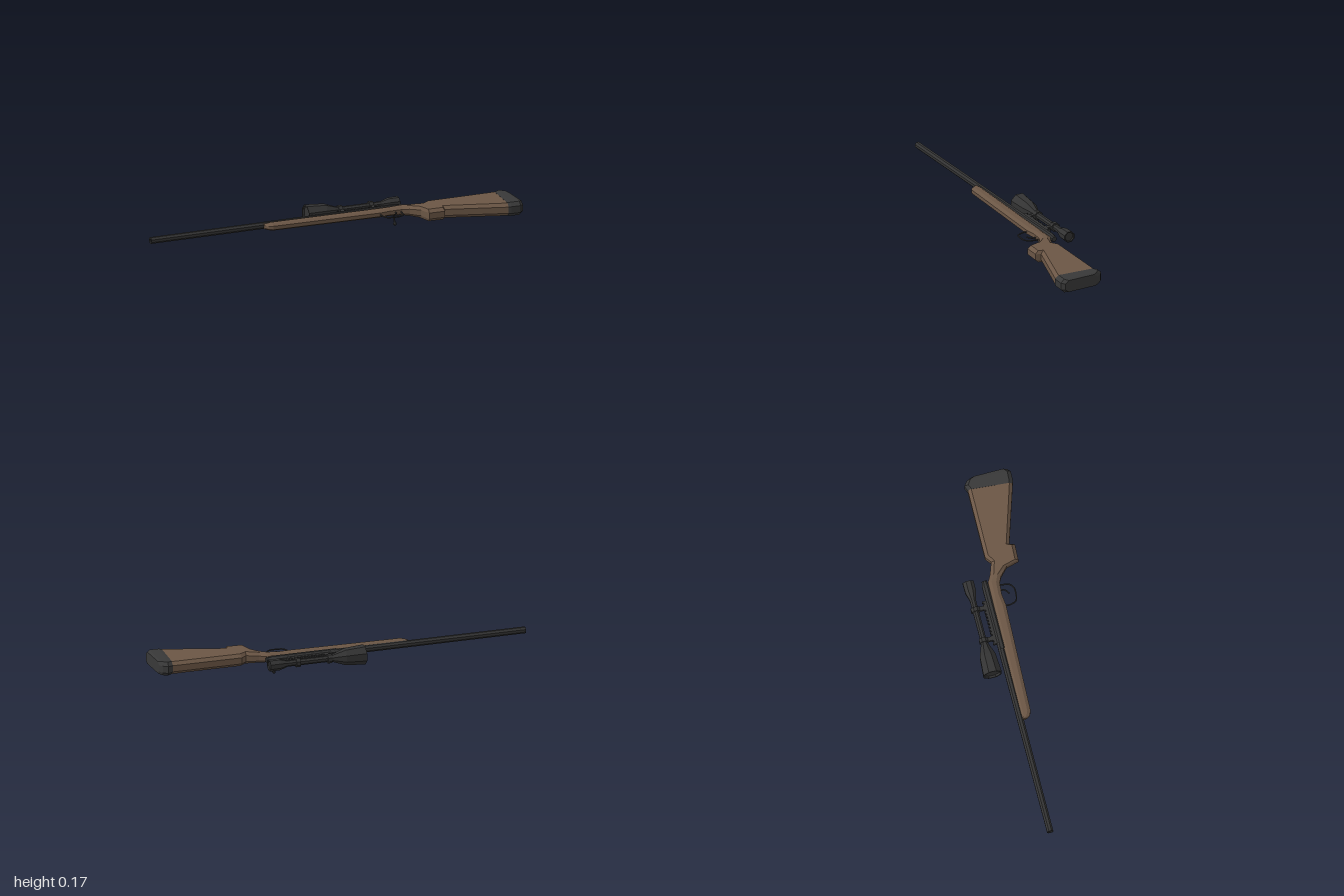
import * as THREE from 'three';

const wood = new THREE.MeshStandardMaterial({ color: 0x6b5645, flatShading: true });
const metal = new THREE.MeshStandardMaterial({ color: 0x333333, flatShading: true });
const rubber = new THREE.MeshStandardMaterial({ color: 0x383838, flatShading: true });

// Local frame: x runs from muzzle to butt, y is up from trigger to scope, z is the thickness.
const BORE = 0.104, SCOPE = 0.202;

// Loft of bevelled eight-sided sections: [x at top, top, x at bottom, bottom, half thickness]
function loft(sections, bevel) {
  const pos = [], idx = [], n = 8, last = (sections.length - 1) * n;
  for (const [xt, t, xb, b, h] of sections) {
    const k = Math.min(bevel, (t - b) * 0.35), w = h * 0.5;
    const ring = [[t, -w], [t, w], [t - k, h], [b + k, h], [b, w], [b, -w], [b + k, -h], [t - k, -h]];
    for (const [y, z] of ring) pos.push(xb + (xt - xb) * (y - b) / (t - b), y, z);
  }
  for (let i = 0; i < last; i += n) {
    for (let j = 0; j < n; j++) {
      const a = i + j, b = i + (j + 1) % n;
      idx.push(a, b, b + n, a, b + n, a + n);
    }
  }
  for (let j = 1; j < n - 1; j++) idx.push(0, j + 1, j, last, last + j, last + j + 1);
  const g = new THREE.BufferGeometry();
  g.setAttribute('position', new THREE.Float32BufferAttribute(pos, 3));
  g.setIndex(idx);
  g.computeVertexNormals();
  return g;
}

// Turned part along x, profile given as [x, radius]
function turned(profile, y, sides = 8) {
  const pts = profile.map(([x, r]) => new THREE.Vector2(r, x));
  return new THREE.LatheGeometry(pts, sides, Math.PI / sides).rotateZ(-Math.PI / 2).translate(0, y, 0);
}

function box(x, y, w, h, d) {
  return new THREE.BoxGeometry(w, h, d).translate(x, y, 0);
}

function bar(points, radius, steps = 24) {
  const curve = new THREE.CatmullRomCurve3(points.map(p => new THREE.Vector3(...p)));
  return new THREE.TubeGeometry(curve, steps, radius, 6);
}

export function createModel() {
  const model = new THREE.Group();
  const rifle = new THREE.Group();
  rifle.name = 'rifle';
  model.add(rifle);
  const add = (name, geometry, material = metal) => {
    const mesh = new THREE.Mesh(geometry, material);
    mesh.name = name;
    rifle.add(mesh);
    return mesh;
  };

  // Stock: fore-end, wrist, grip and butt
  add('stock', loft([
    [-0.499, 0.102, -0.496, 0.064, 0.016],
    [-0.48, 0.101, -0.48, 0.038, 0.02],
    [-0.454, 0.1, -0.454, 0.026, 0.024],
    [0.287, 0.086, 0.287, 0.004, 0.024],
    [0.36, 0.081, 0.36, 0.013, 0.026],
    [0.461, 0.079, 0.44, 0.007, 0.03],
    [0.51, 0.053, 0.482, -0.013, 0.034],
    [0.55, 0.04, 0.537, -0.064, 0.038],
    [0.588, 0.026, 0.56, -0.147, 0.04],
    [0.628, 0.057, 0.668, -0.151, 0.041],
    [0.64, 0.057, 0.681, -0.117, 0.041],
    [1.1, 0.053, 1.08, -0.24, 0.042],
  ], 0.022), wood);

  // Butt pad
  add('buttPad', loft([
    [1.095, 0.053, 1.075, -0.24, 0.043],
    [1.13, 0.068, 1.093, -0.244, 0.046],
    [1.161, 0.045, 1.157, -0.246, 0.046],
    [1.176, 0.015, 1.181, -0.225, 0.04],
  ], 0.025), rubber);

  // Barrel with hollow muzzle, receiver and bolt
  add('barrel', turned([[-1.25, 0], [-1.25, 0.011], [-1.283, 0.012], [-1.283, 0.022], [0.05, 0.023]], BORE));
  add('receiver', turned([[0, 0], [0, 0.025], [0.44, 0.025], [0.455, 0.02], [0.476, 0.018], [0.476, 0]], 0.1));
  add('boltHandle', bar([[0.414, 0.1, -0.01], [0.414, 0.09, -0.045], [0.414, 0.072, -0.095]], 0.006, 6));
  add('boltKnob', new THREE.IcosahedronGeometry(0.012, 1).translate(0.414, 0.069, -0.096));

  // Toothed scope rail
  add('rail', box(0.193, 0.13, 0.3, 0.018, 0.026));
  for (let i = 0; i < 13; i++) add('railTooth', box(0.049 + i * 0.024, 0.142, 0.012, 0.012, 0.026));

  // Scope: wide front bell, tube and eyepiece, with recessed lenses
  add('scope', turned([
    [-0.14, 0], [-0.14, 0.054], [-0.153, 0.056], [-0.153, 0.065], [-0.02, 0.055], [0.065, 0.024],
    [0.09, 0.021], [0.37, 0.021], [0.425, 0.038], [0.494, 0.039], [0.494, 0.032], [0.484, 0.03], [0.484, 0],
  ], SCOPE));

  // Scope rings and their feet
  for (const x of [0.085, 0.3]) {
    add('scopeRing', turned([[x - 0.014, 0.02], [x - 0.014, 0.031], [x + 0.014, 0.031], [x + 0.014, 0.02]], SCOPE));
    add('ringFoot', box(x, 0.16, 0.026, 0.044, 0.024));
  }

  // Trigger and guard
  add('triggerGuard', bar([
    [0.285, 0.012, 0], [0.285, -0.03, 0], [0.304, -0.068, 0], [0.345, -0.077, 0],
    [0.39, -0.075, 0], [0.419, -0.052, 0], [0.43, 0.012, 0],
  ], 0.005, 30));
  add('trigger', bar([[0.395, 0.015, 0], [0.388, -0.015, 0], [0.358, -0.038, 0]], 0.005, 8));

  // Lay the rifle on its side, diagonally across the ground
  const s = Math.SQRT1_2;
  const basis = new THREE.Matrix4().makeBasis(
    new THREE.Vector3(s, 0, -s), new THREE.Vector3(-s, 0, -s), new THREE.Vector3(0, 1, 0));
  rifle.quaternion.setFromRotationMatrix(basis);
  rifle.position.y = 0.108;
  return model;
}
